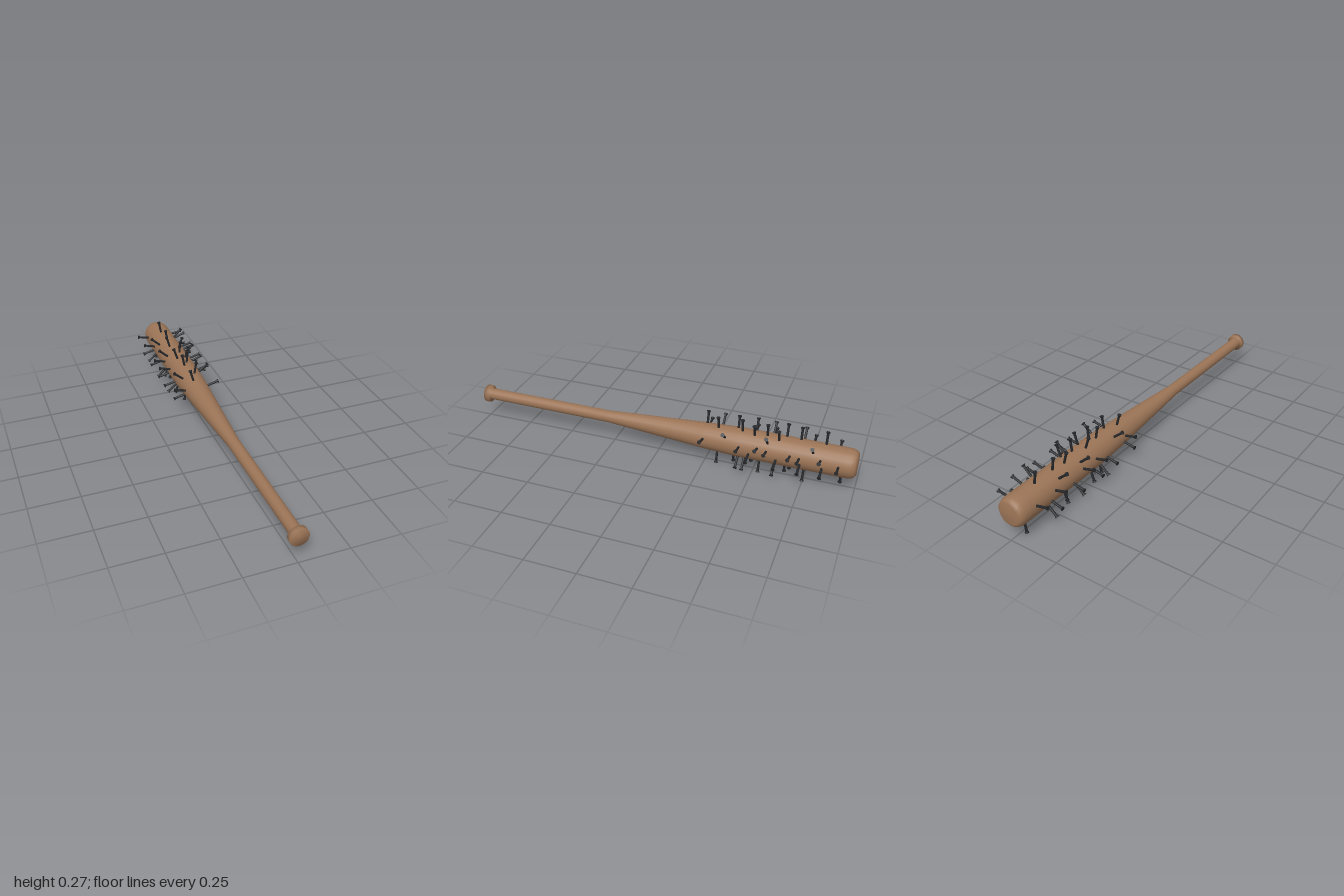
import * as THREE from 'three';

const AXIS_Y = 0.137;

// Bat profile as [radius, z], from the barrel end to the knob
const PROFILE = [
  [0, -1], [0.052, -0.998], [0.066, -0.988], [0.073, -0.968], [0.074, -0.93],
  [0.074, -0.42], [0.066, -0.25], [0.031, 0.28], [0.03, 0.972],
  [0.046, 0.973], [0.046, 0.998], [0, 1],
];

// Nails as [z, angle in degrees around the bat]
const NAILS = [
  // left side
  [-0.25, 15], [-0.435, 12], [-0.485, -10], [-0.525, 20], [-0.57, 15], [-0.62, -14],
  [-0.685, 15], [-0.73, 12], [-0.735, -14], [-0.83, 20], [-0.84, -12], [-0.915, 8],
  // upper and lower left
  [-0.36, 40], [-0.57, 48], [-0.79, 45], [-0.43, -40], [-0.46, -47], [-0.61, -43],
  // top
  [-0.25, 105], [-0.315, 80], [-0.41, 100], [-0.435, 83], [-0.5, 108], [-0.5, 72],
  [-0.56, 83], [-0.62, 70], [-0.65, 105], [-0.72, 98], [-0.84, 99],
  // bottom
  [-0.315, -75], [-0.39, -100], [-0.475, -110], [-0.53, -75], [-0.65, -100],
  [-0.67, -110], [-0.75, -75], [-0.925, -100],
  // right side
  [-0.245, 167], [-0.255, 193], [-0.405, 193], [-0.485, 165], [-0.515, 195], [-0.58, 165],
  [-0.655, 193], [-0.775, 165], [-0.805, 195], [-0.9, 167],
  // upper and lower right
  [-0.32, 140], [-0.58, 138], [-0.73, 138], [-0.435, -138], [-0.62, -138], [-0.81, -138],
];

// Bat radius at a given z, so nails sit on the surface
function radiusAt(z) {
  const i = PROFILE.findIndex((p) => p[1] >= z);
  const [r0, z0] = PROFILE[i - 1];
  const [r1, z1] = PROFILE[i];
  return r0 + (r1 - r0) * (z - z0) / (z1 - z0);
}

export function createModel() {
  const wood = new THREE.MeshStandardMaterial({ color: 0x9b7456 });
  wood.name = 'wood';
  const iron = new THREE.MeshStandardMaterial({ color: 0x26272a });
  iron.name = 'darkIron';

  const model = new THREE.Group();
  model.name = 'nailedBat';

  // Barrel, handle and knob in one turned piece
  const batGeo = new THREE.LatheGeometry(PROFILE.map(([r, z]) => new THREE.Vector2(r, z)), 20);
  batGeo.rotateX(Math.PI / 2);
  const bat = new THREE.Mesh(batGeo, wood);
  bat.name = 'bat';
  bat.position.y = AXIS_Y;
  model.add(bat);

  // Nail: shaft from inside the wood, with a flared head, pointing along +y
  const shaftGeo = new THREE.CylinderGeometry(0.006, 0.006, 0.07, 8).translate(0, 0.023, 0);
  const headGeo = new THREE.CylinderGeometry(0.0105, 0.0075, 0.008, 8).translate(0, 0.059, 0);

  NAILS.forEach(([z, degrees]) => {
    const angle = THREE.MathUtils.degToRad(degrees);
    const r = radiusAt(z);
    const nail = new THREE.Group();
    nail.name = 'nail';
    const shaft = new THREE.Mesh(shaftGeo, iron);
    shaft.name = 'nailShaft';
    const head = new THREE.Mesh(headGeo, iron);
    head.name = 'nailHead';
    nail.add(shaft, head);
    nail.position.set(Math.cos(angle) * r, AXIS_Y + Math.sin(angle) * r, z);
    nail.rotation.z = angle - Math.PI / 2;
    model.add(nail);
  });

  return model;
}
